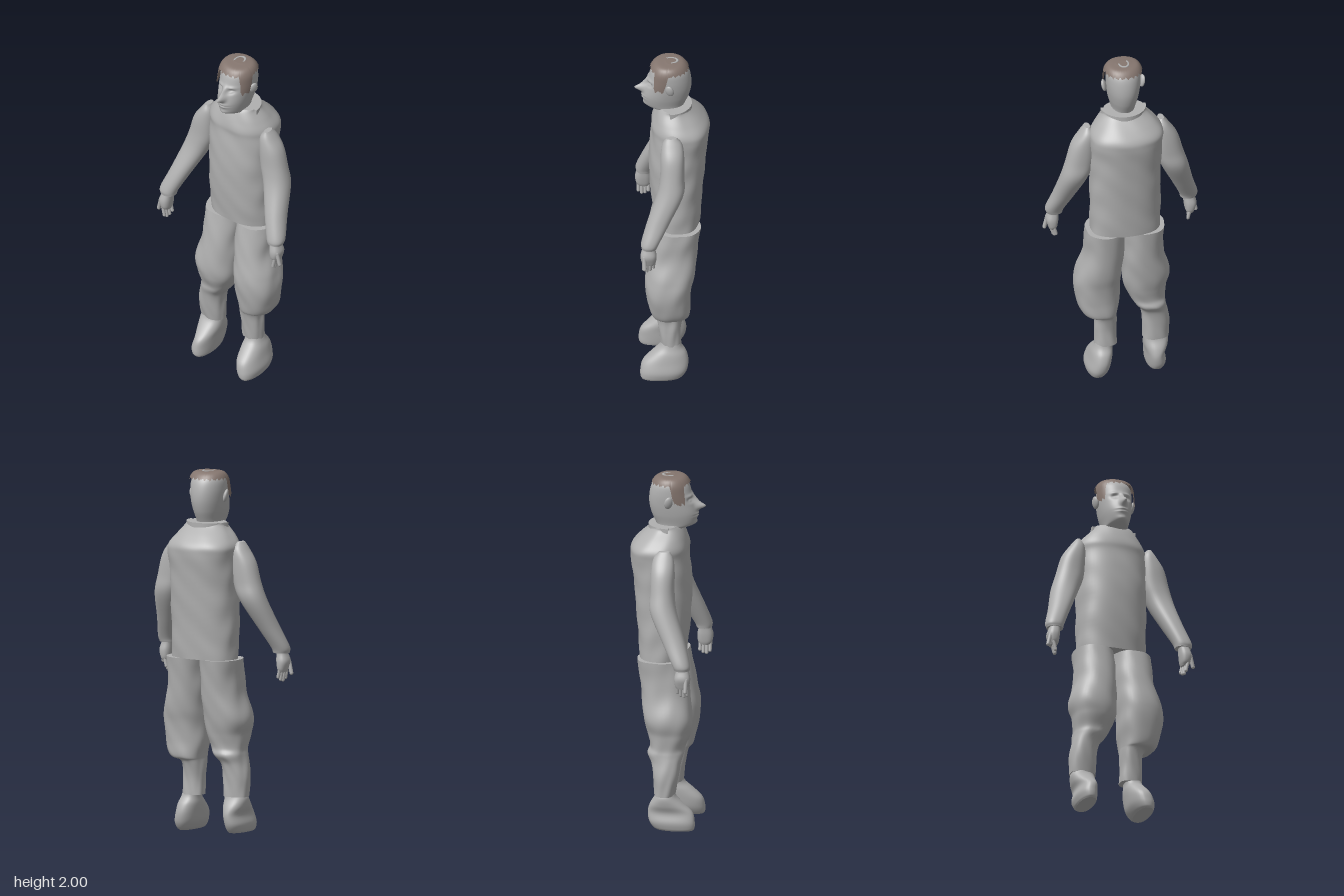
import * as THREE from 'three';

const grey = new THREE.MeshStandardMaterial({ color: 0xb0b0b0 });
grey.name = 'plain grey';
const brown = new THREE.MeshStandardMaterial({ color: 0x85766f, side: THREE.DoubleSide });
brown.name = 'hair brown';

const bell = (d, w) => Math.exp(-(d * d) / (w * w));
const ramp = THREE.MathUtils.smoothstep;

// Smooth surface through horizontal sections [y, xMin, xMax, zMin, zMax]; a = 0 faces the front
function surface(sections, power = 2, shape = null) {
  const spline = new THREE.CubicInterpolant(sections.map((_, i) => i), sections.flat(), 5, new Float32Array(5));
  const round = (v) => Math.sign(v) * Math.abs(v) ** (2 / power);
  const at = (u, a) => {
    const [y, x0, x1, z0, z1] = spline.evaluate(u);
    const p = new THREE.Vector3(
      (x0 + x1) / 2 + ((x1 - x0) / 2) * round(Math.sin(a)), y,
      (z0 + z1) / 2 + ((z1 - z0) / 2) * round(Math.cos(a)));
    if (shape) shape(p, a);
    return p;
  };
  return { at, last: sections.length - 1 };
}

// Closed skin from start(a) to the last section, with flat caps
function skin({ at, last }, segs = 40, rows = 36, start = () => 0, bottom = true) {
  const pos = [], idx = [];
  const angle = (i) => (i / segs) * Math.PI * 2;
  for (let j = 0; j <= rows; j++) {
    for (let i = 0; i < segs; i++) {
      const u0 = start(angle(i));
      pos.push(...at(u0 + (last - u0) * (j / rows), angle(i)).toArray());
      if (j === rows) continue;
      const a = j * segs + i, b = j * segs + ((i + 1) % segs);
      idx.push(a, b, b + segs, a, b + segs, a + segs);
    }
  }
  const cap = (row, up) => {
    const first = pos.length / 3, mid = new THREE.Vector3();
    for (let i = 0; i < segs; i++) {
      const p = new THREE.Vector3().fromArray(pos, (row * segs + i) * 3);
      mid.addScaledVector(p, 1 / segs);
      pos.push(...p.toArray());
    }
    pos.push(...mid.toArray());
    for (let i = 0; i < segs; i++) {
      const a = first + i, b = first + ((i + 1) % segs);
      idx.push(...(up ? [a, b, first + segs] : [b, a, first + segs]));
    }
  };
  if (bottom) cap(0, false);
  cap(rows, true);
  const g = new THREE.BufferGeometry();
  g.setAttribute('position', new THREE.Float32BufferAttribute(pos, 3));
  g.setIndex(idx);
  g.computeVertexNormals();
  return g;
}

export function createModel() {
  const model = new THREE.Group();
  const add = (name, geometry, material = grey, parent = model) => {
    const mesh = new THREE.Mesh(geometry, material);
    mesh.name = name;
    parent.add(mesh);
    return mesh;
  };

  // Loose tunic with faint cloth folds
  const folds = (p, a) => {
    const f = 0.003 * Math.sin(p.y * 31 + Math.sin(a * 2) * 3) * Math.sin(a * 3 + p.y * 9);
    p.x += f * Math.sin(a);
    p.z += f * Math.cos(a);
  };
  add('tunic', skin(surface([
    [0.97, -0.178, 0.21, -0.15, 0.1], [1.1, -0.18, 0.21, -0.16, 0.115], [1.3, -0.18, 0.21, -0.175, 0.13],
    [1.45, -0.182, 0.21, -0.19, 0.125], [1.55, -0.188, 0.215, -0.2, 0.117], [1.6, -0.188, 0.212, -0.196, 0.118],
    [1.65, -0.155, 0.178, -0.155, 0.105], [1.7, -0.108, 0.138, -0.1, 0.085], [1.72, -0.1, 0.132, -0.085, 0.07],
  ], 2.3, folds), 56, 50));

  // Raised collar around the back of the neck
  const collar = new THREE.Shape();
  collar.absarc(0, 0, 0.126, 0, Math.PI, false);
  collar.absarc(0, 0, 0.1, Math.PI, 0, true);
  const collarGeometry = new THREE.ExtrudeGeometry(collar, { depth: 0.03, bevelEnabled: false, curveSegments: 24 });
  collarGeometry.rotateX(-Math.PI / 2).scale(1, 1, 1).translate(0.017, 1.69, 0.02);
  add('collar', collarGeometry);

  // Head, with the face pushed out of the front surface
  const face = (p, a) => {
    const front = ramp(Math.cos(a), 0.1, 0.6), x = p.x - 0.018, y = p.y, side = Math.abs(x) - 0.036;
    p.z += front * (
      0.05 * bell(x, 0.017) * bell(y - 1.826, 0.02) + 0.02 * bell(x, 0.012) * bell(y - 1.86, 0.028)
      - 0.016 * bell(side, 0.019) * bell(y - 1.866, 0.013) + 0.008 * bell(side, 0.011) * bell(y - 1.863, 0.006)
      + 0.006 * bell(side, 0.024) * bell(y - 1.888, 0.009)
      + 0.011 * bell(x, 0.028) * bell(y - 1.777, 0.013) - 0.011 * bell(x, 0.03) * bell(y - 1.777, 0.004)
      + 0.01 * bell(x, 0.03) * bell(y - 1.73, 0.014));
  };
  const headSections = [
    [1.62, -0.05, 0.083, -0.055, 0.07], [1.69, -0.05, 0.083, -0.055, 0.08], [1.722, -0.05, 0.083, -0.065, 0.145],
    [1.78, -0.064, 0.097, -0.09, 0.164], [1.84, -0.073, 0.107, -0.103, 0.152], [1.9, -0.077, 0.111, -0.1, 0.132],
    [1.95, -0.072, 0.107, -0.085, 0.115], [1.982, -0.05, 0.085, -0.055, 0.085], [1.99, -0.008, 0.04, -0.008, 0.03],
  ];
  add('head', skin(surface(headSections, 2.1, face), 96, 110));
  for (const s of [-1, 1]) {
    const ear = add(s < 0 ? 'rightEar' : 'leftEar', new THREE.SphereGeometry(1, 16, 12));
    ear.scale.set(0.013, 0.036, 0.024);
    ear.position.set(0.017 + s * 0.107, 1.865, 0.02);
    ear.rotation.set(0.1, s * -0.4, -s * 0.2);
  }

  // Short hair with a ragged edge and sideburns
  const hairSections = headSections.map(([y, x0, x1, z0, z1]) => [y + 0.008, x0 - 0.016, x1 + 0.016, z0 - 0.004, z1 + 0.008]);
  const hairEdge = (a) => {
    const t = Math.abs(a > Math.PI ? a - Math.PI * 2 : a);
    const sideburn = ramp(t, 0.65, 0.95) * (1 - ramp(t, 1.35, 1.5));
    return 6 - 1.9 * sideburn + 0.12 * Math.sin(a * 23) + 0.08 * Math.sin(a * 41);
  };
  add('hair', skin(surface(hairSections, 2.1), 120, 24, hairEdge, false), brown);
  const patch = add('baldPatch', new THREE.TorusGeometry(0.026, 0.006, 6, 20, 3.8));
  patch.geometry.rotateX(-Math.PI / 2).scale(1, 0.4, 1.4);
  patch.position.set(0.016, 1.997, 0.01);

  // Sleeves and hands, mirrored with a slightly shifted shoulder
  const sleeve = [
    [1.005, 0.33, 0.42, 0.1, 0.185], [1.04, 0.32, 0.425, 0.085, 0.185], [1.15, 0.275, 0.395, 0.025, 0.15],
    [1.3, 0.215, 0.365, -0.05, 0.095], [1.4, 0.183, 0.34, -0.055, 0.078], [1.51, 0.175, 0.31, -0.055, 0.075],
    [1.58, 0.18, 0.265, -0.045, 0.065], [1.62, 0.205, 0.235, -0.015, 0.045],
  ];
  const palm = [
    [0.9, 0.365, 0.405, 0.115, 0.17], [0.92, 0.358, 0.412, 0.105, 0.185], [0.96, 0.352, 0.422, 0.102, 0.19],
    [1.0, 0.35, 0.41, 0.11, 0.18], [1.03, 0.345, 0.405, 0.11, 0.17],
  ];
  const mirror = (sections, shift) => sections.map(([y, x0, x1, z0, z1]) => {
    const d = shift * ramp(y, 1.0, 1.5);
    return [y, d - x1, d - x0, z0, z1];
  });
  const finger = (parent, name, from, to, r) => {
    const a = new THREE.Vector3(...from), b = new THREE.Vector3(...to), dir = b.clone().sub(a);
    const mesh = add(name, new THREE.CapsuleGeometry(r, dir.length(), 4, 10), grey, parent);
    mesh.position.copy(a).add(b).multiplyScalar(0.5);
    mesh.quaternion.setFromUnitVectors(new THREE.Vector3(0, 1, 0), dir.normalize());
  };
  for (const s of [-1, 1]) {
    const side = s < 0 ? 'right' : 'left';
    add(side + 'Sleeve', skin(surface(s < 0 ? mirror(sleeve, 0.025) : sleeve, 2.2)));
    const hand = new THREE.Group();
    hand.name = side + 'Hand';
    model.add(hand);
    add('palm', skin(surface(s < 0 ? mirror(palm, 0) : palm, 2.4), 28, 16), grey, hand);
    for (let i = 0; i < 4; i++) {
      const z = 0.118 + i * 0.018, tip = [0.872, 0.858, 0.853, 0.865][i];
      finger(hand, 'finger', [s * (0.382 + i * 0.004), 0.92, z], [s * (0.37 + i * 0.004), tip, z], 0.0095);
    }
    finger(hand, 'thumb', [s * 0.408, 0.96, 0.17], [s * 0.424, 0.893, 0.168], 0.011);
  }

  // Baggy trousers, one leg gathered lower than the other
  add('leftTrouserLeg', skin(surface([
    [0.2, 0.055, 0.18, -0.042, 0.068], [0.3, 0.056, 0.177, -0.042, 0.08], [0.385, 0.055, 0.182, -0.06, 0.098],
    [0.415, 0.053, 0.245, -0.088, 0.122], [0.5, 0.041, 0.28, -0.09, 0.14], [0.6, 0.035, 0.29, -0.1, 0.155],
    [0.68, 0.03, 0.28, -0.115, 0.155], [0.8, 0.023, 0.243, -0.13, 0.135], [0.97, 0.018, 0.236, -0.15, 0.105],
  ], 2.3, folds), 44, 60));
  add('rightTrouserLeg', skin(surface([
    [0.21, -0.235, -0.09, -0.045, 0.068], [0.3, -0.24, -0.09, -0.05, 0.085], [0.39, -0.226, -0.08, -0.06, 0.1],
    [0.44, -0.218, -0.045, -0.085, 0.115], [0.48, -0.213, -0.02, -0.075, 0.12], [0.55, -0.222, 0.01, -0.09, 0.145],
    [0.64, -0.24, 0.02, -0.11, 0.155], [0.8, -0.2, 0.022, -0.13, 0.135], [0.97, -0.2, 0.018, -0.15, 0.105],
  ], 2.3, folds), 44, 60));

  // Soft boots with long rounded toes
  add('leftBoot', skin(surface([
    [0, 0.125, 0.21, -0.035, 0.175], [0.015, 0.11, 0.217, -0.055, 0.182], [0.05, 0.092, 0.222, -0.075, 0.182],
    [0.1, 0.083, 0.21, -0.082, 0.168], [0.15, 0.078, 0.198, -0.07, 0.118], [0.19, 0.08, 0.182, -0.045, 0.075],
    [0.24, 0.075, 0.168, -0.035, 0.06],
  ], 2.3), 40, 30));
  add('rightBoot', skin(surface([
    [0.01, -0.207, -0.12, -0.035, 0.17], [0.025, -0.215, -0.116, -0.055, 0.178], [0.06, -0.222, -0.112, -0.075, 0.178],
    [0.11, -0.212, -0.108, -0.082, 0.165], [0.155, -0.228, -0.1, -0.07, 0.118], [0.2, -0.233, -0.1, -0.045, 0.075],
    [0.24, -0.215, -0.105, -0.035, 0.06],
  ], 2.3), 40, 30));

  return model;
}
